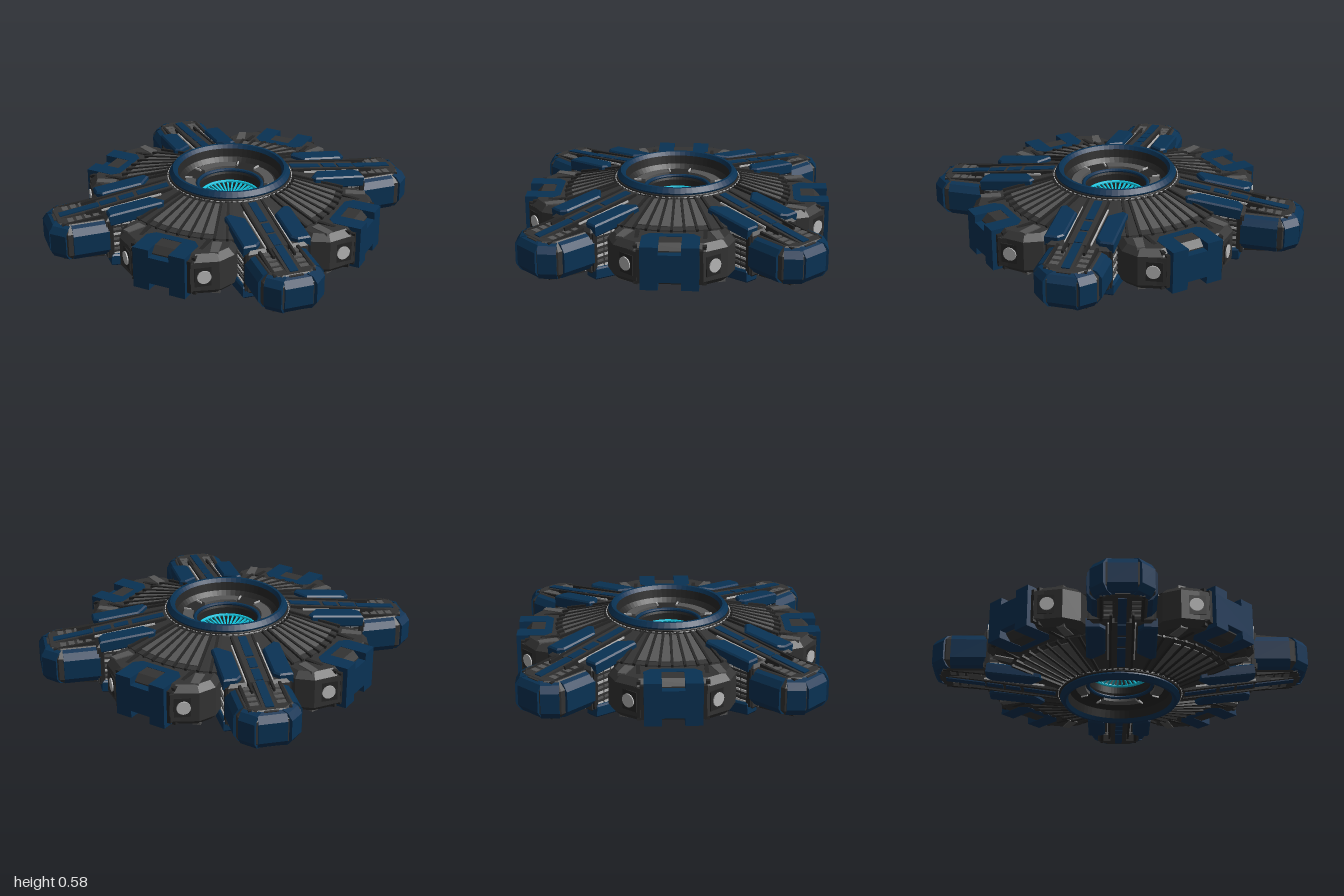
import * as THREE from 'three';

const mat = (color) => new THREE.MeshStandardMaterial({ color, flatShading: true });
const blue = mat(0x093254), dark = mat(0x333333), black = mat(0x262626), grey = mat(0x565656),
  light = mat(0xb8b8b8), teal = mat(0x12c4de);

function add(parent, name, geo, m, x = 0, y = 0, z = 0) {
  const mesh = new THREE.Mesh(geo, m);
  mesh.name = name;
  mesh.position.set(x, y, z);
  parent.add(mesh);
  return mesh;
}
const box = (p, name, m, w, h, d, x, y, z) => add(p, name, new THREE.BoxGeometry(w, h, d), m, x, y, z);

// bar along z whose top runs from (z0, y0) to (z1, y1)
function strip(p, name, m, x, w, t, z0, y0, z1, y1) {
  const b = box(p, name, m, w, t, Math.hypot(z1 - z0, y1 - y0), x, (y0 + y1) / 2 - t / 2, (z0 + z1) / 2);
  b.rotation.x = Math.atan2(y0 - y1, z1 - z0);
  return b;
}

// upright prism from a plan outline of [x, z] points
function prism(pts, y0, y1, bevel = 0) {
  const shape = new THREE.Shape(pts.map(([x, z]) => new THREE.Vector2(x, z)));
  const geo = new THREE.ExtrudeGeometry(shape, {
    depth: y1 - y0 - 2 * bevel, bevelEnabled: bevel > 0, bevelSize: bevel, bevelThickness: bevel,
    bevelOffset: -bevel, bevelSegments: 1,
  });
  return geo.rotateX(Math.PI / 2).translate(0, y1 - bevel, 0);
}
// full outline from its +x half
const mirrored = (half) => [...half, ...half.slice().reverse().map(([x, z]) => [-x, z])];

// stepped top of the round core: hull cone, rim, bowl and turbine
function coreHalf() {
  const g = new THREE.Group();
  const lathe = (name, pts, m) =>
    add(g, name, new THREE.LatheGeometry(pts.map(([r, y]) => new THREE.Vector2(r, y)), 64), m);
  lathe('hull', [[0.74, 0], [0.74, 0.145], [0.41, 0.228], [0.395, 0.25], [0.35, 0.25]], dark);
  lathe('rim', [[0.395, 0.243], [0.4, 0.26], [0.378, 0.29], [0.36, 0.29], [0.345, 0.265]], blue);
  lathe('bowl', [[0.348, 0.27], [0.335, 0.21], [0.31, 0.18], [0.215, 0.165], [0.205, 0.14], [0.2, 0.01], [0, 0.01]], black);
  for (const [r, y] of [[0.406, 0.232], [0.4, 0.244]]) {
    const ring = add(g, 'rimBand', new THREE.TorusGeometry(r, 0.006, 6, 64), black, 0, y, 0);
    ring.rotation.x = Math.PI / 2;
  }
  for (let i = 0; i < 72; i++) {
    const a = (i / 72) * Math.PI * 2;
    box(g, 'rimDash', light, 0.022, 0.005, 0.006, Math.sin(a) * 0.411, 0.237, Math.cos(a) * 0.411).rotation.y = a;
  }
  // broad panels on the bowl floor with clips at their ends
  for (let i = 0; i < 4; i++) {
    const a = (i / 4) * Math.PI * 2 + 0.3, b = a + Math.PI / 2 - 0.6;
    const s = new THREE.Shape();
    s.absarc(0, 0, 0.295, a, b, false);
    s.absarc(0, 0, 0.23, b, a, true);
    const geo = new THREE.ExtrudeGeometry(s, { depth: 0.02, bevelEnabled: false, curveSegments: 12 });
    add(g, 'bowlPanel', geo.rotateX(-Math.PI / 2), grey, 0, 0.167, 0);
    for (const c of [a - 0.05, b + 0.05])
      box(g, 'bowlClip', light, 0.008, 0.012, 0.05, Math.sin(c) * 0.28, 0.184, Math.cos(c) * 0.28).rotation.y = c;
  }
  const trim = add(g, 'bowlTrim', new THREE.TorusGeometry(0.214, 0.012, 8, 64), blue, 0, 0.165, 0);
  const hoop = add(g, 'turbineRing', new THREE.TorusGeometry(0.192, 0.01, 8, 64), teal, 0, 0.09, 0);
  trim.rotation.x = hoop.rotation.x = Math.PI / 2;
  for (let i = 0; i < 36; i++) {
    const spoke = new THREE.Group();
    strip(spoke, 'turbineSpoke', teal, 0, 0.011, 0.012, 0.06, 0.06, 0.19, 0.09);
    spoke.rotation.y = (i / 36) * Math.PI * 2;
    g.add(spoke);
  }
  add(g, 'turbineHub', new THREE.CylinderGeometry(0.07, 0.075, 0.05, 32), teal, 0, 0.04, 0);
  return g;
}

// ribbed fan, docking block cap and segment top; +z points outward
function sideHalf() {
  const g = new THREE.Group();
  const step = 0.107;
  const slope = Math.atan2(0.08, 0.31);
  for (let i = -4; i <= 4; i++) {
    const rib = new THREE.Group();
    strip(rib, 'fanRib', black, 0, 0.016, 0.04, 0.41, 0.243, 0.75, 0.157);
    rib.rotation.y = i * step;
    g.add(rib);
  }
  for (let i = -3; i < 3; i++) {
    const panel = new THREE.Group();
    const plate = add(panel, 'fanPanel', prism(mirrored([[0.014, 0], [0.029, 0.285]]), -0.02, 0), grey, 0, 0.232, 0.43);
    plate.rotation.x = slope;
    panel.rotation.y = (i + 0.5) * step;
    g.add(panel);
  }
  // notched blue cap
  add(g, 'blockCap', prism(mirrored([[0.07, 0.82], [0.07, 1], [0.18, 1], [0.18, 0.815], [0.135, 0.77]]), 0.08, 0.14), blue);
  box(g, 'blockLatch', dark, 0.14, 0.04, 0.1, 0, 0.095, 0.87);
  box(g, 'latchPad', grey, 0.09, 0.02, 0.06, 0, 0.11, 0.87);
  for (const s of [-1, 1]) {
    const pad = add(g, 'shoulderPanel', prism([[-0.03, -0.06], [0.03, -0.06], [0.02, 0.07], [-0.03, 0.07]], 0, 0.02),
      grey, s * 0.285, 0.125, 0.78);
    pad.rotation.y = s * 0.35;
    strip(g, 'shoulderBrace', black, s * 0.21, 0.025, 0.05, 0.72, 0.15, 0.94, 0.128);
  }
  return g;
}

// outer segment between two arms, with lamps
function side() {
  const g = new THREE.Group();
  add(g, 'segmentBody', prism(mirrored([[0.34, 0.55], [0.395, 0.75], [0.35, 0.865], [0.22, 0.95]]), -0.138, 0.138, 0.04), dark);
  add(g, 'blockBody', prism(mirrored([[0.135, 0.77], [0.18, 0.815], [0.18, 1]]), -0.09, 0.09), blue);
  for (const s of [-1, 1]) {
    box(g, 'blockBracket', black, 0.03, 0.22, 0.14, s * 0.19, 0, 0.9);
    const housing = new THREE.Group();
    housing.name = 'lampHousing';
    housing.position.set(s * 0.235, 0, 0.878);
    housing.rotation.y = s * 0.7;
    box(housing, 'lampBox', dark, 0.17, 0.19, 0.1, 0, 0, 0);
    box(housing, 'lampPlate', black, 0.12, 0.13, 0.012, 0, 0, 0.052);
    add(housing, 'lamp', new THREE.CylinderGeometry(0.044, 0.044, 0.02, 24), light, 0, 0, 0.056).rotation.x = Math.PI / 2;
    g.add(housing);
  }
  return g;
}

// upper dressing of a diagonal arm; +z points outward
function armHalf() {
  const g = new THREE.Group();
  strip(g, 'spine', dark, 0, 0.13, 0.09, 0.4, 0.232, 0.9, 0.16);
  strip(g, 'spineTip', dark, 0, 0.09, 0.05, 0.88, 0.16, 1.2, 0.12);
  // blue inlay along the spine
  const top = (z) => (z < 0.9 ? 0.238 - (z - 0.4) * 0.144 : 0.166 - (z - 0.9) * 0.13);
  for (const [a, b] of [[0.43, 0.64], [0.665, 0.76], [0.78, 0.89], [0.9, 1.16]])
    strip(g, 'spineInlay', blue, 0, 0.052, 0.02, a, top(a), b, top(b));
  for (const s of [-1, 1]) {
    // blue plate sloping down with the hull
    const outline = [[0.1, -0.12], [0.184, -0.19], [0.22, -0.17], [0.22, 0.185], [0.134, 0.185], [0.1, 0.15]];
    const plate = add(g, 'armPlate', prism(outline.map(([x, z]) => [s * x, z]), -0.08, 0, 0.01), blue, 0, 0.202, 0.7);
    plate.rotation.x = 0.11;
    strip(g, 'armRod', light, s * 0.083, 0.008, 0.012, 0.5, 0.215, 0.9, 0.165);
    strip(g, 'armRail', black, s * 0.068, 0.014, 0.04, 0.42, 0.238, 1.0, 0.158);
    strip(g, 'tipRail', black, s * 0.125, 0.018, 0.04, 0.9, 0.148, 1.17, 0.122);
    for (let i = 0; i < 5; i++)
      box(g, 'tipPanel', grey, 0.055, 0.02, 0.038, s * 0.085, 0.131 - i * 0.005, 0.94 + i * 0.055);
  }
  return g;
}

// arm body, side vents and the blue petals round its tip
function arm() {
  const g = new THREE.Group();
  add(g, 'armBody', prism(mirrored([[0.195, 0.45], [0.195, 0.9]]), -0.15, 0.15, 0.02), dark);
  add(g, 'armTip', prism(mirrored([[0.195, 0.85], [0.195, 1.15], [0.105, 1.235]]), -0.125, 0.125, 0.05), dark);
  const half = [[-0.07, 0.122], [-0.03, 0.108], [0, 0.065]];
  const section = new THREE.Shape([...half, ...half.slice().reverse().map(([x, y]) => [x, -y])].reverse()
    .map((p) => new THREE.Vector2(...p)));
  const petal = (deg, len, x, z) => {
    const geo = new THREE.ExtrudeGeometry(section, { depth: len, bevelEnabled: false }).translate(0, 0, -len / 2);
    add(g, 'tipPetal', geo, blue, x, 0, z).rotation.y = THREE.MathUtils.degToRad(deg - 90);
  };
  petal(0, 0.18, 0, 1.25);
  for (const s of [-1, 1]) {
    petal(s * 45, 0.115, s * 0.155, 1.208);
    petal(s * 90, 0.235, s * 0.212, 1.0);
    box(g, 'tipCollar', black, 0.03, 0.25, 0.03, s * 0.195, 0, 0.875);
    for (let r = 0; r < 7; r++)
      for (let c = 0; c < 3; c++)
        box(g, 'sideVent', r % 2 ? grey : light, 0.012, 0.014, 0.05, s * 0.196, -0.105 + r * 0.035, 0.71 + c * 0.06);
  }
  return g;
}

export function createModel() {
  const model = new THREE.Group();
  const body = new THREE.Group();
  body.name = 'station';
  body.position.y = 0.29;
  model.add(body);
  const place = (part, name, angle, flip = false) => {
    const g = new THREE.Group();
    g.name = name;
    if (flip) part.rotation.z = Math.PI;
    g.add(part);
    g.rotation.y = angle;
    body.add(g);
  };
  // upper and lower faces are alike, with four sides and four arms
  for (const flip of [false, true]) {
    place(coreHalf(), flip ? 'lowerCore' : 'upperCore', 0, flip);
    for (let k = 0; k < 4; k++) {
      place(sideHalf(), 'sideDeck', (k * Math.PI) / 2, flip);
      place(armHalf(), 'armDeck', ((k + 0.5) * Math.PI) / 2, flip);
    }
  }
  for (let k = 0; k < 4; k++) {
    place(side(), 'side', (k * Math.PI) / 2);
    place(arm(), 'arm', ((k + 0.5) * Math.PI) / 2);
  }
  return model;
}
